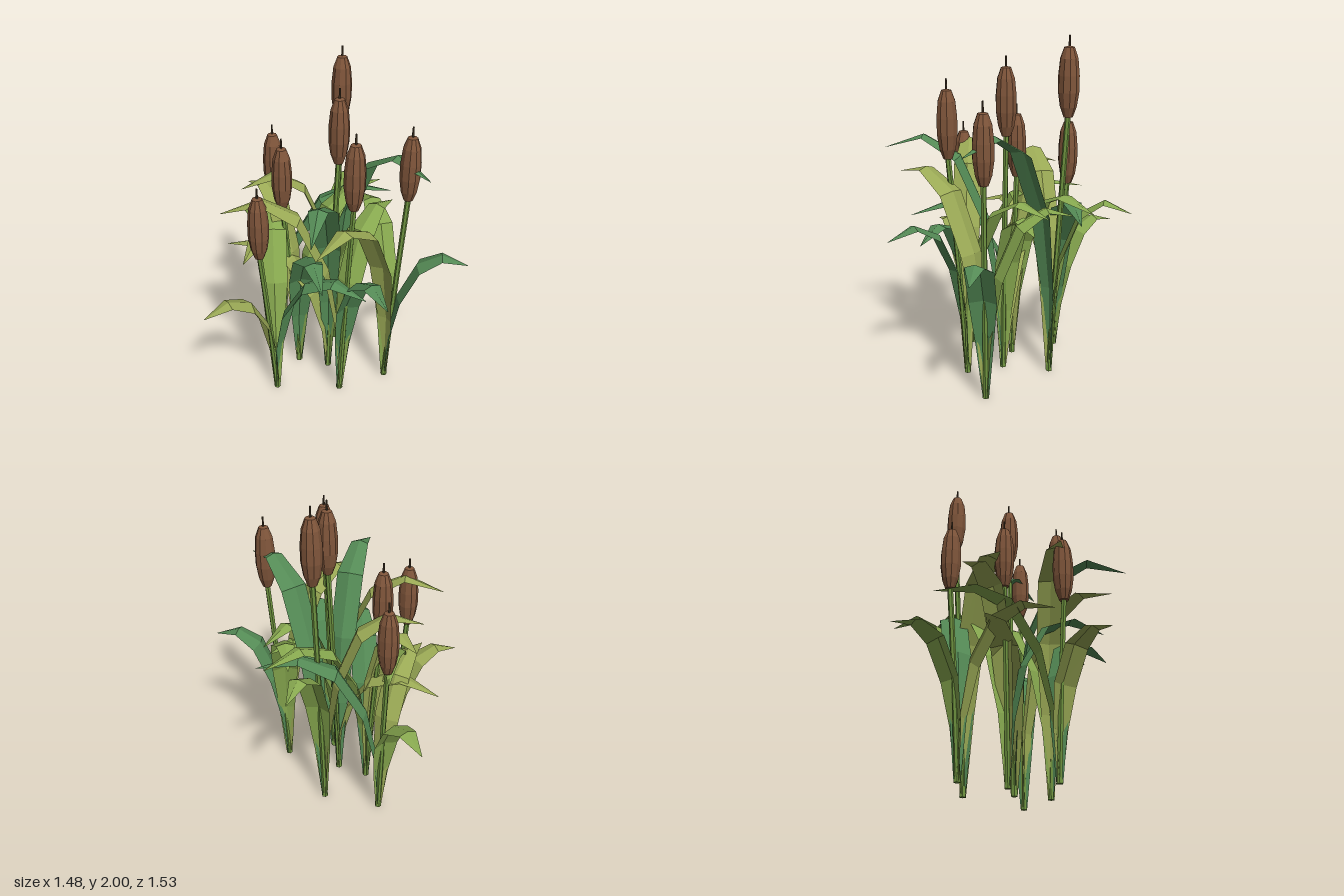
import * as THREE from 'three';

const mat = (color, side = THREE.FrontSide) =>
  new THREE.MeshStandardMaterial({ color, side, flatShading: true, roughness: 0.9 });

const leafMats = {
  deep: mat(0x548a55, THREE.DoubleSide),
  mid: mat(0x87a84f, THREE.DoubleSide),
  pale: mat(0x9aa955, THREE.DoubleSide),
};
const stemMat = mat(0x6f9440);
const headMat = mat(0x80563b);
const spikeMat = mat(0x4a3a28);

// Each plant: base x, z; top x, z; full height; leaves as [tip x, tip z, peak y, tip y, colour]
const plants = [
  { base: [0.22, -0.16], top: [0.27, -0.225], h: 2.0, leaves: [
    [0.48, 0.46, 1.52, 1.45, 'deep'], [-0.35, -0.23, 1.30, 1.23, 'pale'], [0.49, -0.52, 1.10, 1.04, 'mid']] },
  { base: [0.07, 0.08], top: [0.12, 0.075], h: 1.89, leaves: [
    [-0.29, 0.66, 1.43, 1.35, 'deep'], [-0.42, -0.35, 0.86, 0.80, 'pale'], [0.48, 0.06, 1.04, 0.98, 'mid']] },
  { base: [0.05, 0.30], top: [0.065, 0.395], h: 1.78, leaves: [
    [0.10, 0.76, 0.98, 0.92, 'deep'], [-0.56, 0.03, 1.34, 1.26, 'pale'], [0.52, -0.01, 1.14, 1.08, 'mid']] },
  { base: [0.36, 0.30], top: [0.43, 0.325], h: 1.72, leaves: [
    [0.74, 0.52, 0.93, 0.88, 'deep'], [-0.23, 0.59, 1.28, 1.22, 'pale'], [0.42, -0.22, 1.10, 1.04, 'mid']] },
  { base: [-0.08, -0.04], top: [-0.15, -0.10], h: 1.57, leaves: [
    [-0.18, 0.55, 1.02, 0.96, 'deep'], [0.56, -0.25, 1.14, 1.09, 'mid'], [-0.25, -0.41, 1.22, 1.17, 'pale']] },
  { base: [-0.08, -0.33], top: [-0.09, -0.41], h: 1.51, leaves: [
    [0.59, -0.16, 1.11, 1.05, 'deep'], [-0.18, -0.77, 0.81, 0.76, 'mid'], [-0.45, 0.05, 0.96, 0.91, 'pale']] },
  { base: [-0.30, 0.14], top: [-0.385, 0.15], h: 1.44, leaves: [
    [0.07, 0.57, 0.92, 0.86, 'deep'], [-0.74, 0.21, 0.77, 0.72, 'pale'], [-0.07, -0.50, 1.09, 1.05, 'mid']] },
];

// Leaf sections: [fraction of reach, fraction of peak height, width]
const leafRows = [
  [0, 0, 0.036], [0.03, 0.36, 0.10], [0.13, 0.67, 0.155],
  [0.36, 0.92, 0.16], [0.66, 1, 0.105], [1, null, 0.004],
];

// Arching blade folded along its midrib
function leafGeometry([bx, bz], [tx, tz, peak, tip]) {
  const dir = new THREE.Vector3(tx - bx, 0, tz - bz);
  const reach = dir.length();
  dir.normalize();
  const side = new THREE.Vector3(-dir.z, 0, dir.x);
  const centres = leafRows.map(([r, y]) =>
    new THREE.Vector3(bx, y === null ? tip : y * peak, bz).addScaledVector(dir, r * reach));
  const pos = [], index = [];
  leafRows.forEach(([, , w], i) => {
    const tangent = centres[Math.min(i + 1, 5)].clone().sub(centres[Math.max(i - 1, 0)]).normalize();
    const up = side.clone().cross(tangent).normalize();
    for (const s of [-1, 0, 1]) {
      const p = centres[i].clone().addScaledVector(side, s * w / 2)
        .addScaledVector(up, (s ? -0.5 : 0.5) * w * 0.16);
      pos.push(p.x, Math.max(p.y, 0), p.z);
    }
    if (i === 0) return;
    for (let k = 0; k < 2; k++) {
      const a = (i - 1) * 3 + k, b = a + 3;
      index.push(a, a + 1, b, a + 1, b + 1, b);
    }
  });
  const g = new THREE.BufferGeometry();
  g.setAttribute('position', new THREE.Float32BufferAttribute(pos, 3));
  g.setIndex(index);
  g.computeVertexNormals();
  return g;
}

// Plump seed head, measured up from its lower end
const headGeometry = new THREE.LatheGeometry(
  [[0, 0], [0.026, 0.004], [0.046, 0.06], [0.058, 0.14], [0.058, 0.23], [0.049, 0.32], [0.028, 0.378], [0, 0.385]]
    .map(([x, y]) => new THREE.Vector2(x, y)), 10);
const spikeGeometry = new THREE.CylinderGeometry(0.005, 0.007, 0.08, 6);

function add(group, name, geometry, material) {
  const mesh = new THREE.Mesh(geometry, material);
  mesh.name = name;
  group.add(mesh);
  return mesh;
}

export function createModel() {
  const model = new THREE.Group();
  model.name = 'reedClump';
  for (const { base, top, h, leaves } of plants) {
    const plant = new THREE.Group();
    plant.name = 'reedPlant';
    model.add(plant);

    // Gently leaning stem
    const headY = h - 0.44;
    const curve = new THREE.QuadraticBezierCurve3(
      new THREE.Vector3(base[0], 0, base[1]),
      new THREE.Vector3(base[0] * 0.6 + top[0] * 0.4, headY * 0.5, base[1] * 0.6 + top[1] * 0.4),
      new THREE.Vector3(top[0], headY + 0.02, top[1]));
    add(plant, 'stem', new THREE.TubeGeometry(curve, 5, 0.016, 6), stemMat);
    const foot = add(plant, 'stemFoot', new THREE.CylinderGeometry(0.016, 0.02, 0.06, 6), stemMat);
    foot.position.set(base[0], 0.03, base[1]);

    // Seed head and spike
    add(plant, 'seedHead', headGeometry, headMat).position.set(top[0], headY, top[1]);
    add(plant, 'spike', spikeGeometry, spikeMat).position.set(top[0], h - 0.04, top[1]);

    // Leaves
    for (const leaf of leaves) add(plant, 'leaf', leafGeometry(base, leaf), leafMats[leaf[4]]);
  }
  return model;
}
